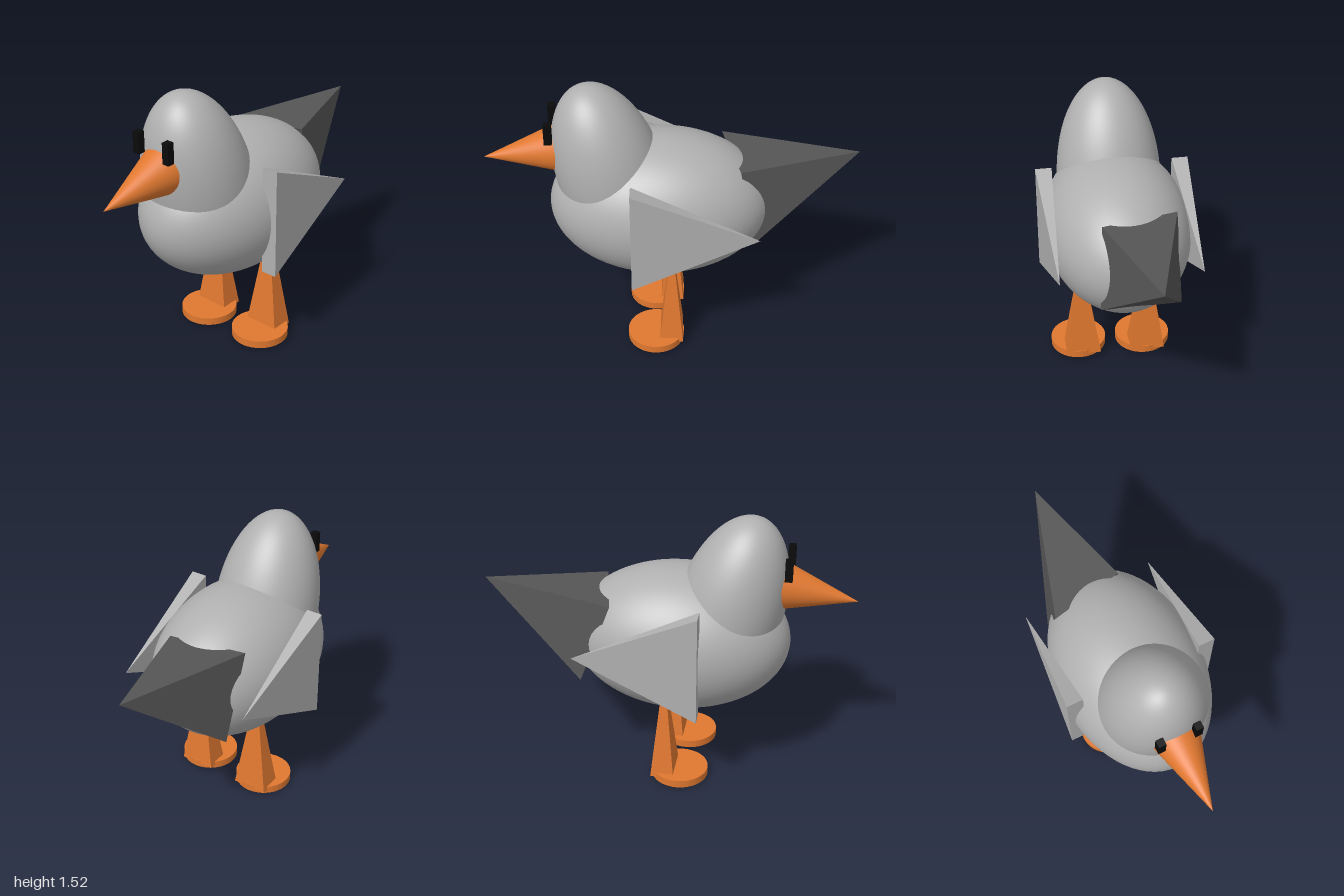
import * as THREE from 'three';

const paint = (name, color, flatShading = false) => {
  const m = new THREE.MeshStandardMaterial({ color, flatShading });
  m.name = name;
  return m;
};

// Four-sided pyramid; base corners run counter-clockwise as seen from the apex
function pyramid(base, apex) {
  const [a, b, c, d] = base;
  const tris = [a, b, apex, b, c, apex, c, d, apex, d, a, apex, a, d, c, a, c, b];
  const g = new THREE.BufferGeometry();
  g.setAttribute('position', new THREE.Float32BufferAttribute(tris.flat(), 3));
  g.computeVertexNormals();
  return g;
}

export function createModel() {
  const bird = new THREE.Group();
  bird.name = 'bird';
  const grey = paint('plumage grey', 0xb0b0b0);
  const dark = paint('tail grey', 0x555555);
  const orange = paint('beak and leg orange', 0xe07830);
  const black = paint('eye black', 0x0a0a0a);

  const add = (name, geometry, material, x = 0, y = 0, z = 0) => {
    const mesh = new THREE.Mesh(geometry, material);
    mesh.name = name;
    mesh.position.set(x, y, z);
    bird.add(mesh);
    return mesh;
  };

  // Body and head: smooth ellipsoids, the head leaning forward
  const ball = new THREE.SphereGeometry(1, 64, 40);
  add('body', ball, grey, -0.065, 0.807, 0).scale.set(0.595, 0.405, 0.4);
  const head = add('head', ball, grey, -0.32, 0.965, 0);
  head.scale.set(0.29, 0.565, 0.29);
  head.rotation.z = 0.267;

  // Beak: cone with its tip at the origin, pointing forward and slightly down
  const beakGeo = new THREE.ConeGeometry(0.135, 0.425, 48);
  beakGeo.translate(0, -0.2125, 0);
  add('beak', beakGeo, orange, -1, 1.078, 0).rotation.z = Math.PI / 2 + 0.157;

  // Eyes
  const eyeGeo = new THREE.BoxGeometry(0.04, 0.115, 0.04);
  add('rightEye', eyeGeo, black, -0.637, 1.282, -0.113);
  add('leftEye', eyeGeo, black, -0.64, 1.28, 0.088);

  // Wings: pyramids tapering backward
  for (const [name, z] of [['leftWing', 0.375], ['rightWing', -0.377]]) {
    const x = -0.21, t = 0.045;
    add(name, pyramid(
      [[x, 1.12, z + t], [x, 0.51, z + t], [x, 0.51, z - t], [x, 1.12, z - t]],
      [0.46, 0.815, z]), grey);
  }

  // Tail: skewed pyramid
  add('tail', pyramid(
    [[0.36, 1.08, 0.142], [0.44, 0.62, 0.165], [0.44, 0.62, -0.265], [0.27, 1.075, -0.265]],
    [1, 1.09, -0.05]), dark);

  // Legs (tapered, square-cut) and disc feet
  const legGeo = new THREE.CylinderGeometry(0.3 * Math.SQRT2, Math.SQRT2, 0.45, 4).toNonIndexed();
  legGeo.rotateY(Math.PI / 4);
  legGeo.scale(0.065, 1, 0.1);
  legGeo.computeVertexNormals();
  const footGeo = new THREE.CylinderGeometry(0.157, 0.157, 0.043, 48);
  for (const [side, legZ, footZ, y] of [['left', 0.21, 0.222, 0.0335], ['right', -0.16, -0.155, 0.0215]]) {
    add(side + 'Leg', legGeo, orange, 0, y + 0.225, legZ);
    add(side + 'Foot', footGeo, orange, -0.088, y, footZ);
  }
  return bird;
}
